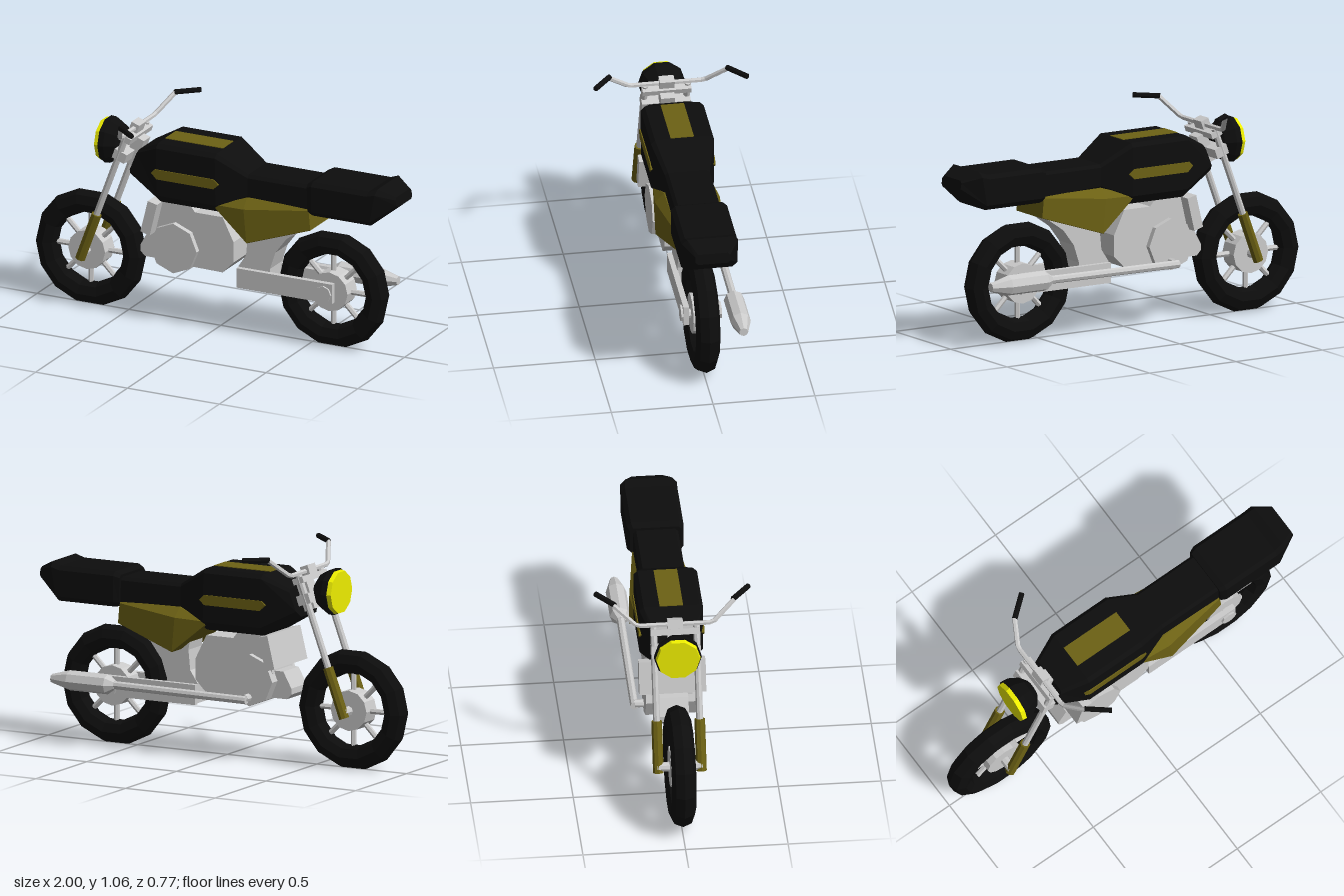
import * as THREE from 'three';

const mat = (color) => new THREE.MeshStandardMaterial({ color, flatShading: true });
const GREY = mat(0xcccccc), BLACK = mat(0x0d0d0d), OLIVE = mat(0x6c6114), YELLOW = mat(0xeeee00);
const V = (x, y, z) => new THREE.Vector3(x, y, z);

function add(parent, name, geo, material, x = 0, y = 0, z = 0) {
  const mesh = new THREE.Mesh(geo, material);
  mesh.name = name;
  mesh.position.set(x, y, z);
  parent.add(mesh);
  return mesh;
}

// Straight round bar from a to b
function rod(parent, name, a, b, r0, r1, sides, material) {
  const mesh = add(parent, name, new THREE.CylinderGeometry(r1, r0, a.distanceTo(b), sides), material);
  mesh.position.copy(a).add(b).multiplyScalar(0.5);
  mesh.quaternion.setFromUnitVectors(V(0, 1, 0), b.clone().sub(a).normalize());
  return mesh;
}

// Side profile in x/y, extruded symmetrically to half width w
function plate(parent, name, pts, w, material) {
  const shape = new THREE.Shape(pts.map(([x, y]) => new THREE.Vector2(x, y)));
  const geo = new THREE.ExtrudeGeometry(shape, { depth: 2 * w, bevelEnabled: false });
  return add(parent, name, geo.translate(0, 0, -w), material);
}

// Body lofted along x. Section: [xBottom, xTop, yBottom, yTop, halfWidth, topChamfer, bottomChamfer]
function loft(parent, name, sections, material) {
  const pos = [], idx = [], n = 8;
  for (const [xb, xt, yb, yt, w, ct, cb] of sections) {
    const half = [[w - ct, yt], [w, yt - ct], [w, yb + cb], [w - cb, yb]];
    const ring = [...half, ...half.slice().reverse().map(([z, y]) => [-z, y])];
    for (const [z, y] of ring) pos.push(xb + (xt - xb) * (y - yb) / (yt - yb), y, z);
  }
  const last = (sections.length - 1) * n;
  for (let i = 0; i < last; i += n) {
    for (let j = 0; j < n; j++) {
      const k = (j + 1) % n;
      idx.push(i + j, i + k, i + n + k, i + j, i + n + k, i + n + j);
    }
  }
  for (let j = 1; j < n - 1; j++) idx.push(0, j + 1, j, last, last + j, last + j + 1);
  const geo = new THREE.BufferGeometry();
  geo.setAttribute('position', new THREE.Float32BufferAttribute(pos, 3));
  geo.setIndex(idx);
  const flat = geo.toNonIndexed();
  flat.computeVertexNormals();
  return add(parent, name, flat, material);
}

function wheel(name, x, axleHalf) {
  const g = new THREE.Group();
  g.name = name;
  g.position.set(x, 0.3, 0);
  add(g, 'tire', new THREE.TorusGeometry(0.238, 0.06, 8, 14), BLACK);
  rod(g, 'hub', V(0, 0, -0.05), V(0, 0, 0.05), 0.1, 0.1, 12, GREY);
  rod(g, 'axle', V(0, 0, -axleHalf), V(0, 0, axleHalf), 0.024, 0.024, 8, GREY);
  for (let i = 0; i < 8; i++) {
    const a = (i * Math.PI) / 4, c = Math.cos(a), s = Math.sin(a);
    rod(g, 'spoke', V(c * 0.07, s * 0.07, 0), V(c * 0.2, s * 0.2, 0), 0.014, 0.014, 6, GREY);
  }
  return g;
}

export function createModel() {
  const bike = new THREE.Group();
  bike.name = 'motorcycle';
  bike.add(wheel('frontWheel', -0.705, 0.11), wheel('rearWheel', 0.615, 0.1));

  // Tank running back into the seat
  loft(bike, 'tank', [
    [-0.455, -0.4, 0.745, 0.88, 0.105, 0.015, 0.03],
    [-0.27, -0.275, 0.64, 0.947, 0.155, 0.02, 0.045],
    [0.05, 0.045, 0.64, 0.947, 0.155, 0.02, 0.045],
    [0.2, 0.2, 0.725, 0.852, 0.11, 0.015, 0.02],
    [0.56, 0.56, 0.71, 0.852, 0.11, 0.015, 0.02],
  ], BLACK);
  plate(bike, 'sideStripes', [[-0.3, 0.8], [-0.27, 0.77], [0.04, 0.77], [0.067, 0.795],
    [0.04, 0.82], [-0.28, 0.82]], 0.16, OLIVE);
  add(bike, 'topStripe', new THREE.BoxGeometry(0.315, 0.02, 0.115), OLIVE, -0.117, 0.94, 0);

  // Tail section
  loft(bike, 'tail', [
    [0.535, 0.53, 0.71, 0.865, 0.125, 0.015, 0.02],
    [0.56, 0.56, 0.705, 0.88, 0.138, 0.02, 0.025],
    [0.83, 0.865, 0.705, 0.88, 0.138, 0.02, 0.025],
    [0.875, 0.91, 0.705, 0.897, 0.138, 0.025, 0.025],
    [1.0, 0.992, 0.805, 0.857, 0.085, 0.012, 0.012],
  ], BLACK);

  // Side panels under the seat
  loft(bike, 'sidePanels', [
    [0.045, 0.04, 0.665, 0.69, 0.145, 0.005, 0.002],
    [0.22, 0.2, 0.52, 0.737, 0.16, 0.045, 0.002],
    [0.545, 0.535, 0.625, 0.735, 0.115, 0.01, 0.002],
  ], OLIVE);

  // Frame and swingarm
  plate(bike, 'rearFrame', [[0.13, 0.26], [0.3, 0.26], [0.3, 0.37], [0.33, 0.46], [0.39, 0.54],
    [0.49, 0.61], [0.16, 0.64], [0.18, 0.52], [0.17, 0.42], [0.13, 0.36]], 0.065, GREY);
  for (const s of [-1, 1]) {
    add(bike, 'swingarm', new THREE.BoxGeometry(0.52, 0.1, 0.028), GREY, 0.39, 0.305, s * 0.076);
    rod(bike, 'axleNut', V(0.605, 0.3, s * 0.08), V(0.605, 0.3, s * 0.1), 0.042, 0.042, 8, GREY);
  }

  // Engine
  const engine = new THREE.Group();
  engine.name = 'engine';
  bike.add(engine);
  plate(engine, 'engineBlock', [[-0.31, 0.44], [-0.26, 0.33], [0.06, 0.325], [0.12, 0.385],
    [0.12, 0.49], [0.06, 0.61], [-0.09, 0.61], [-0.13, 0.66], [-0.28, 0.66]], 0.1, GREY);
  const cover = add(engine, 'engineCover', new THREE.CylinderGeometry(0.128, 0.128, 0.256, 8), GREY, -0.195, 0.415, 0);
  cover.rotation.x = Math.PI / 2;
  plate(engine, 'frontCase', [[-0.4, 0.385], [-0.355, 0.465], [-0.29, 0.465], [-0.25, 0.4],
    [-0.29, 0.33], [-0.375, 0.33], [-0.4, 0.355]], 0.075, GREY);
  plate(bike, 'radiator', [[-0.355, 0.49], [-0.305, 0.475], [-0.265, 0.64], [-0.315, 0.652]], 0.163, GREY);

  // Exhaust on the right side
  const ez = -0.17, ey = 0.33;
  rod(bike, 'exhaustInlet', V(-0.19, ey, -0.09), V(-0.19, ey, ez), 0.02, 0.02, 8, GREY);
  rod(bike, 'exhaustPipe', V(-0.205, ey - 0.005, ez - 0.004), V(0.56, ey, ez), 0.02, 0.02, 8, GREY);
  rod(bike, 'mufflerNeck', V(0.53, ey, ez), V(0.57, ey, ez), 0.022, 0.05, 8, GREY);
  rod(bike, 'muffler', V(0.57, ey, ez), V(0.78, ey, ez), 0.05, 0.05, 8, GREY);
  rod(bike, 'mufflerTip', V(0.78, ey, ez), V(0.88, ey, ez), 0.05, 0.022, 8, GREY);

  // Forks, handlebar and grips, mirrored
  for (const s of [-1, 1]) {
    const z = s * 0.105;
    rod(bike, 'forkTube', V(-0.665, 0.4, z), V(-0.458, 0.955, z), 0.017, 0.017, 8, GREY);
    rod(bike, 'forkLeg', V(-0.712, 0.272, z), V(-0.622, 0.515, z), 0.026, 0.026, 8, OLIVE);
    const bar = [V(-0.455, 0.963, 0), V(-0.455, 0.963, s * 0.185), V(-0.397, 1.052, s * 0.295)];
    const path = new THREE.CurvePath();
    path.add(new THREE.LineCurve3(bar[0], bar[1]));
    path.add(new THREE.LineCurve3(bar[1], bar[2]));
    add(bike, 'handlebar', new THREE.TubeGeometry(path, 12, 0.0125, 6), GREY);
    rod(bike, 'grip', V(-0.4, 1.055, s * 0.288), V(-0.297, 1.057, s * 0.373), 0.0135, 0.0135, 8, BLACK);
  }

  // Steering clamps and stem, tilted with the forks
  const tilt = -0.35;
  for (const [name, x, y, w, h, d] of [
    ['lowerClamp', -0.492, 0.84, 0.07, 0.05, 0.24],
    ['upperClamp', -0.462, 0.93, 0.06, 0.03, 0.24],
    ['steeringStem', -0.455, 0.845, 0.06, 0.15, 0.07],
    ['barMount', -0.454, 0.967, 0.045, 0.045, 0.074],
  ]) add(bike, name, new THREE.BoxGeometry(w, h, d), GREY, x, y, 0).rotation.z = tilt;

  // Headlight
  const lampY = 0.872;
  rod(bike, 'headlightLens', V(-0.637, lampY, 0), V(-0.612, lampY, 0), 0.106, 0.11, 10, YELLOW);
  rod(bike, 'headlightRim', V(-0.614, lampY, 0), V(-0.585, lampY, 0), 0.116, 0.114, 10, BLACK);
  rod(bike, 'headlightShell', V(-0.585, lampY, 0), V(-0.535, lampY, 0), 0.114, 0.085, 10, BLACK);
  rod(bike, 'headlightBack', V(-0.535, lampY, 0), V(-0.505, lampY, 0), 0.085, 0.045, 10, BLACK);
  return bike;
}
